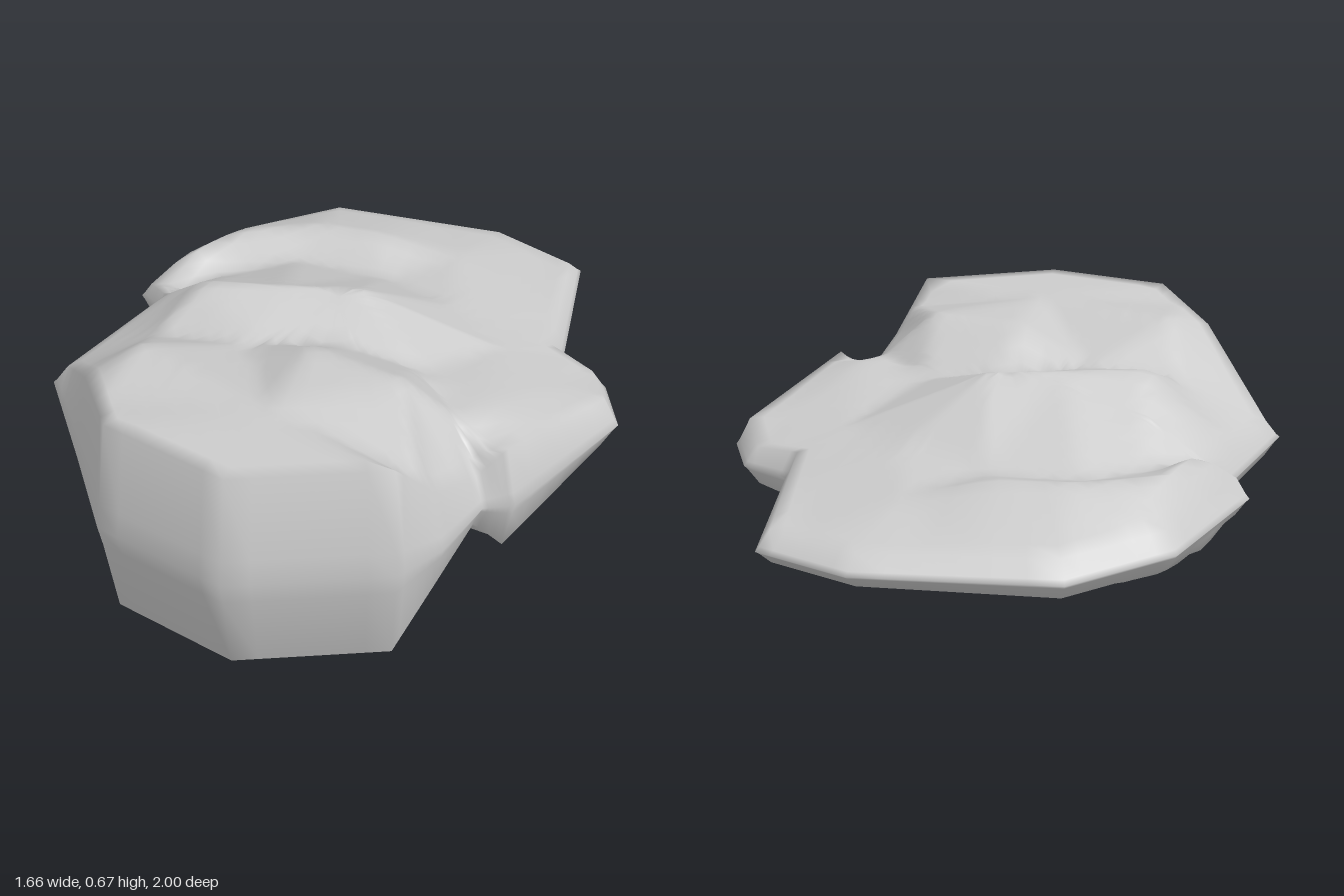
import * as THREE from 'three';
import { mergeVertices } from 'three/addons/utils/BufferGeometryUtils.js';

const MID = 0.337; // height of the mirror plane between upper and lower half
const INSET = 0.945; // plan scale at which the rim wall meets the relief

// Plan outline, clockwise from the back: x, z, half thickness just inside the rim
const OUTLINE = [
  [0.08, -1, 0.05], [0.42, -0.57, 0.08], [0.59, -0.59, 0.06], [0.75, -0.48, 0.09],
  [0.82, 0.02, 0.18], [0.77, 0.1, 0.09], [0.83, 0.31, 0.17], [0.83, 0.48, 0.337],
  [0.55, 0.88, 0.337], [0.13, 1, 0.337], [-0.17, 0.87, 0.28], [-0.53, 0.72, 0.06],
  [-0.65, 0.24, 0.07], [-0.75, 0.23, 0.06], [-0.83, -0.24, 0.06], [-0.72, -0.6, 0.06],
  [-0.23, -0.95, 0.05],
];

// Relief of the top: x, z, half thickness
const FRONT_BLOCK = [
  [-0.13, 0.65, 0.337], [0.2, 0.27, 0.337], [0.49, 0.17, 0.337], [0.35, 0.55, 0.337],
];
const HUMP = [[0.03, -0.07, 0.3], [-0.14, 0.1, 0.3], [-0.32, 0.28, 0.3], [-0.48, 0.3, 0.18]];
const VALLEYS = [
  // between the block and the hump
  [-0.3, 0.48, 0.2], [-0.05, 0.32, 0.23], [0.16, 0.08, 0.22],
  // behind the hump
  [-0.2, -0.35, 0.11], [-0.45, -0.2, 0.11], [-0.54, 0.02, 0.1],
  // between the block and the left lobe
  [0.35, -0.03, 0.19], [0.35, -0.35, 0.13],
];
const LEFT_LOBE = [[0.6, 0.05, 0.2], [0.6, -0.07, 0.2], [0.6, -0.35, 0.12]];
const RIGHT_LOBE = [[-0.67, 0.08, 0.165], [-0.67, -0.1, 0.155], [-0.7, -0.3, 0.1]];
const TAIL = [[-0.52, -0.33, 0.165], [-0.34, -0.45, 0.165], [0.1, -0.4, 0.13], [-0.15, -0.62, 0.11]];

// Split every outline edge evenly
function subdivide(points, n) {
  return points.flatMap((p, i) => {
    const q = points[(i + 1) % points.length];
    return Array.from({ length: n }, (_, k) => p.map((v, j) => v + (q[j] - v) * k / n));
  });
}

const cross = (a, b, c) => (b[0] - a[0]) * (c[1] - a[1]) - (b[1] - a[1]) * (c[0] - a[0]);

// Delaunay triangles: triples whose circumcircle holds no other point
function triangulate(points) {
  const triangles = [];
  const square = p => p[0] * p[0] + p[1] * p[1];
  for (let i = 0; i < points.length; i++) {
    for (let j = i + 1; j < points.length; j++) {
      for (let k = j + 1; k < points.length; k++) {
        const [a, b, c] = [points[i], points[j], points[k]];
        const d = 2 * cross(a, b, c);
        if (Math.abs(d) < 1e-7) continue;
        const [sa, sb, sc] = [square(a), square(b), square(c)];
        const u = (sa * (b[1] - c[1]) + sb * (c[1] - a[1]) + sc * (a[1] - b[1])) / d;
        const v = (sa * (c[0] - b[0]) + sb * (a[0] - c[0]) + sc * (b[0] - a[0])) / d;
        const r = Math.hypot(a[0] - u, a[1] - v) - 1e-7;
        if (points.every(p => Math.hypot(p[0] - u, p[1] - v) >= r)) triangles.push([a, b, c]);
      }
    }
  }
  return triangles;
}

// Height on the triangle that holds the point best
function thickness(x, z, triangles) {
  const p = [x, z];
  let best = -Infinity, height = 0;
  for (const [a, b, c] of triangles) {
    const area = cross(a, b, c);
    const u = cross(p, b, c) / area, v = cross(a, p, c) / area, w = 1 - u - v;
    const inside = Math.min(u, v, w);
    if (inside > best) {
      best = inside;
      height = u * a[2] + v * b[2] + w * c[2];
    }
  }
  return height;
}

function rockGeometry() {
  const RINGS = 18;
  const rim = subdivide(OUTLINE, 6);
  const triangles = triangulate([
    ...FRONT_BLOCK, ...HUMP, ...VALLEYS, ...LEFT_LOBE, ...RIGHT_LOBE, ...TAIL,
    ...subdivide(OUTLINE, 2).map(([x, z, h]) => [x * INSET, z * INSET, h]),
  ]);

  // Concentric rows: relief rings, rim wall, then the sharp equator
  const upper = [];
  for (let r = 0; r < RINGS; r++) {
    const s = INSET * r / RINGS;
    upper.push(rim.map(([x, z]) => [x * s, thickness(x * s, z * s, triangles), z * s]));
  }
  upper.push(rim.map(([x, z, h]) => [x * INSET, h, z * INSET]));
  upper.push(rim.map(([x, z, h]) => [x * 0.985, h * 0.22, z * 0.985]));
  const equator = rim.map(([x, z]) => [x, 0, z]);
  const lower = upper.map(row => row.map(([x, y, z]) => [x, -y, z])).reverse();
  const rows = [...upper, equator, ...lower];

  const n = rim.length, index = [];
  for (let r = 0; r < rows.length - 1; r++) {
    for (let i = 0; i < n; i++) {
      const j = (i + 1) % n;
      const a = r * n + i, b = r * n + j, c = a + n, d = b + n;
      if (r > 0) index.push(a, b, c);
      if (r < rows.length - 2) index.push(b, d, c);
    }
  }
  const geometry = new THREE.BufferGeometry();
  geometry.setAttribute('position', new THREE.Float32BufferAttribute(rows.flat(2), 3));
  geometry.setIndex(index);
  const merged = mergeVertices(geometry, 1e-5);
  merged.computeVertexNormals();
  return merged;
}

export function createModel() {
  const group = new THREE.Group();
  group.name = 'rock';
  const body = new THREE.Mesh(rockGeometry(), new THREE.MeshStandardMaterial({ color: 0xcccccc }));
  body.name = 'rockBody';
  body.position.y = MID;
  group.add(body);
  return group;
}
